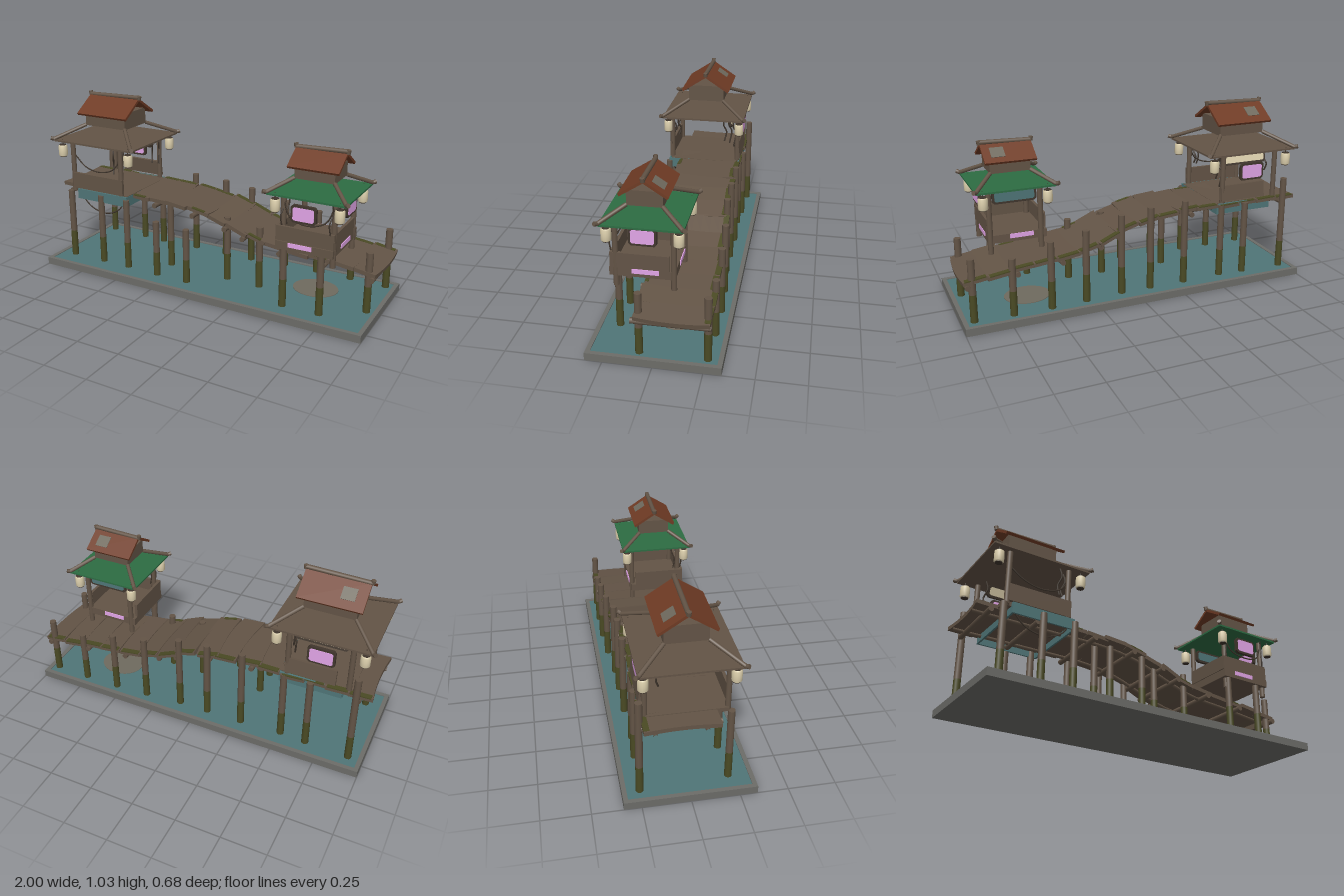
import * as THREE from 'three';

const mat = (name, color) => {
  const m = new THREE.MeshStandardMaterial({ color });
  m.name = name;
  return m;
};
const wood = mat('weathered wood', 0x635446);
const dark = mat('dark wood', 0x40362d);
const moss = mat('moss', 0x4a4a24);
const rust = mat('rusty roof', 0x6f3b24);
const green = mat('green roof', 0x2d6c43);
const teal = mat('water teal', 0x4f7577);
const stone = mat('stone grey', 0x6c6c68);
const cream = mat('lantern cream', 0xdccfac);
const pink = mat('glowing pink', 0xe6a8ec);
const sand = mat('sandy patch', 0x6f6a5e);

function add(parent, name, geo, material, x = 0, y = 0, z = 0) {
  const m = new THREE.Mesh(geo, material);
  m.name = name;
  m.position.set(x, y, z);
  parent.add(m);
  return m;
}
const box = (p, name, m, w, h, d, x, y, z) => add(p, name, new THREE.BoxGeometry(w, h, d), m, x, y, z);

// Round log between two points
function log(p, name, m, a, b, r, r2 = r) {
  const A = new THREE.Vector3(...a), B = new THREE.Vector3(...b);
  const dir = B.clone().sub(A);
  const mesh = add(p, name, new THREE.CylinderGeometry(r2, r, dir.length(), 10), m);
  mesh.position.copy(A).add(B).multiplyScalar(0.5);
  mesh.quaternion.setFromUnitVectors(new THREE.Vector3(0, 1, 0), dir.normalize());
}

// Hanging cable through a few points
function cable(p, pts, r = 0.004) {
  const curve = new THREE.CatmullRomCurve3(pts.map(q => new THREE.Vector3(...q)));
  add(p, 'cable', new THREE.TubeGeometry(curve, 16, r, 5), dark);
}

// Stilt with a mossy foot
function stilt(p, x, z, top, r = 0.019) {
  const split = Math.min(0.2, top * 0.5);
  log(p, 'stiltFoot', moss, [x, 0.04, z], [x, split, z], r * 1.06, r * 1.03);
  log(p, 'stilt', wood, [x, split, z], [x, top, z], r * 1.02, r);
}

// Rounded board with a thin coloured face on both sides
function sign(p, w, h, face, x, y, z, turn = 0, tilt = 0) {
  const g = new THREE.Group();
  g.name = 'signBoard';
  const plate = (W, H, r, depth) => {
    const s = new THREE.Shape();
    const a = W / 2, b = H / 2;
    s.moveTo(-a + r, -b).lineTo(a - r, -b).lineTo(a, -b + r).lineTo(a, b - r)
      .lineTo(a - r, b).lineTo(-a + r, b).lineTo(-a, b - r).lineTo(-a, -b + r).closePath();
    return new THREE.ExtrudeGeometry(s, { depth, bevelEnabled: false }).translate(0, 0, -depth / 2);
  };
  add(g, 'signFrame', plate(w, h, 0.012, 0.018), dark);
  for (const s of [-1, 1]) add(g, 'signFace', plate(w - 0.024, h - 0.024, 0.008, 0.004), face, 0, 0, s * 0.01);
  g.position.set(x, y, z);
  g.rotation.set(tilt, turn, 0);
  p.add(g);
}

function lantern(p, x, y, z) {
  const g = new THREE.Group();
  g.name = 'lantern';
  const prof = [[0.02, -0.034], [0.026, -0.028], [0.0265, 0], [0.026, 0.028], [0.02, 0.034]];
  add(g, 'lanternShade', new THREE.LatheGeometry(prof.map(q => new THREE.Vector2(...q)), 14), cream);
  for (const s of [-1, 1]) add(g, 'lanternCap', new THREE.CylinderGeometry(0.02, 0.02, 0.005, 12), dark, 0, s * 0.0345, 0);
  log(g, 'lanternCord', dark, [0, 0.03, 0], [0, 0.068, 0], 0.003);
  g.position.set(x, y, z);
  p.add(g);
}

// Shelter: flat eave roof, sloping hip beams and a raised gabled box
function pavilion(root, o) {
  const g = new THREE.Group();
  g.name = o.name;
  g.position.set(o.cx, 0, o.cz);
  root.add(g);
  box(g, 'lowerRoof', o.roof, o.ew * 2, 0.01, o.ed * 2, 0, o.eaveY, 0);
  box(g, 'raisedBox', wood, o.tw * 2, o.boxY - o.topY, o.td * 2, 0, (o.boxY + o.topY) / 2, 0);
  for (const sx of [-1, 1]) for (const sz of [-1, 1]) {
    const ex = sx * o.ew, ez = sz * o.ed;
    log(g, 'hipBeam', wood, [sx * o.tw, o.topY + 0.004, sz * o.td], [ex, o.eaveY + 0.01, ez], 0.011);
    log(g, 'hipTip', wood, [ex, o.eaveY + 0.01, ez], [ex + sx * 0.014, o.eaveY + 0.015, ez + sz * 0.012], 0.011, 0.012);
    log(g, 'cornerPost', wood, [sx * o.pw, o.floorY, sz * o.pd], [sx * o.pw, o.eaveY, sz * o.pd], 0.015);
    lantern(g, sx * (o.ew - 0.04), o.eaveY - 0.062, sz * (o.ed - 0.028));
  }
  for (const s of [-1, 1]) {
    // Gable slab
    const drop = o.ridgeY - o.gableY;
    const slab = box(g, 'gableRoof', rust, o.gl * 2, 0.014, Math.hypot(drop, o.gd), 0, (o.ridgeY + o.gableY) / 2, s * o.gd / 2);
    slab.rotation.x = s * Math.atan2(drop, o.gd);
    if (s < 0) box(slab, 'roofPatch', sand, 0.075, 0.004, 0.07, o.patchX, 0.0075, 0);
    log(g, 'ridgeEnd', wood, [s * o.gl, o.ridgeY, 0], [s * (o.gl + 0.004), o.ridgeY + 0.022, 0], 0.012);
  }
  log(g, 'ridgeBeam', wood, [-o.gl, o.ridgeY + 0.004, 0], [o.gl, o.ridgeY + 0.012, 0], 0.013);
  return g;
}

export function createModel() {
  const root = new THREE.Group();
  root.name = 'stiltWalkway';

  // Base tray with water
  box(root, 'baseSlab', stone, 2, 0.034, 0.68, 0, 0.017, 0);
  for (const s of [-1, 1]) {
    box(root, 'baseRim', stone, 2, 0.042, 0.024, 0, 0.021, s * 0.328);
    box(root, 'baseRim', stone, 0.024, 0.042, 0.632, s * 0.988, 0.021, 0);
  }
  box(root, 'water', teal, 1.952, 0.004, 0.632, 0, 0.036, 0);
  add(root, 'sandPatch', new THREE.CylinderGeometry(0.13, 0.13, 0.003, 24), sand, 0.6, 0.0395, -0.06).scale.z = 0.85;

  // Walkway centre line: height and depth along x
  const path = new THREE.CatmullRomCurve3([[-1, 0.465, -0.05], [-0.6, 0.465, -0.05], [-0.25, 0.463, -0.045], [-0.05, 0.442, -0.05],
    [0.12, 0.398, -0.06], [0.3, 0.333, -0.07], [0.5, 0.308, -0.08], [0.75, 0.288, -0.09], [0.98, 0.262, -0.095]].map(p => new THREE.Vector3(...p)));
  const N = 16;
  for (let i = 0; i < N; i++) {
    const a = path.getPointAt(i / N), b = path.getPointAt((i + 1) / N);
    const len = a.distanceTo(b) + 0.008, width = 0.375 + 0.012 * Math.sin(i * 2.3);
    const plank = new THREE.Group();
    plank.name = 'plank';
    const geo = new THREE.BoxGeometry(len, 0.022, width, 1, 1, 8);
    const pos = geo.attributes.position;
    // Bow each board gently
    for (let k = 0; k < pos.count; k++) {
      const t = pos.getZ(k) * 2 / width;
      pos.setX(k, pos.getX(k) + 0.014 * (1 - t * t));
    }
    geo.computeVertexNormals();
    add(plank, 'plankBoard', geo, wood);
    box(plank, 'plankMoss', moss, len * 0.85, 0.006, 0.03, 0, 0.0095, -width / 2 + 0.014);
    if (i % 3 === 1) box(plank, 'plankMoss', moss, len * 0.6, 0.006, 0.02, 0, 0.0095, width / 2 - 0.009);
    plank.position.copy(a).add(b).multiplyScalar(0.5);
    plank.rotation.set(0.02 * Math.sin(i * 1.7), 0.05 * Math.sin(i * 2.9), Math.atan2(b.y - a.y, b.x - a.x) - 0.03);
    root.add(plank);
  }
  // Cross logs under the boards
  for (const x of [-0.93, -0.67, -0.33, -0.08, 0.12, 0.23, 0.45, 0.7, 0.965]) {
    const p = path.getPointAt((x + 1) / 2);
    log(root, 'crossLog', wood, [x, p.y - 0.028, p.z + 0.205], [x, p.y - 0.028, p.z - 0.19], 0.015);
  }
  for (const dz of [-0.13, 0.12]) {
    const pts = [0, 0.2, 0.4, 0.5, 0.6, 0.7, 0.85, 1].map(t => path.getPointAt(t).add(new THREE.Vector3(0, -0.022, dz)));
    add(root, 'stringer', new THREE.TubeGeometry(new THREE.CatmullRomCurve3(pts), 30, 0.011, 6), wood);
  }
  box(root, 'endBeam', wood, 0.02, 0.036, 0.35, 0.945, 0.24, -0.09);

  // Stilts: x, z, top
  [[-0.92, -0.25, 0.59], [-0.89, 0.21, 0.46], [-0.67, -0.24, 0.47], [-0.67, 0.21, 0.46], [-0.52, -0.23, 0.47], [-0.49, 0.21, 0.46],
    [-0.28, -0.24, 0.53], [-0.28, 0.22, 0.37], [-0.28, 0.06, 0.45], [-0.08, 0.22, 0.36], [-0.07, -0.24, 0.52],
    [0.105, -0.24, 0.5], [0.105, 0.07, 0.42], [0.31, 0.075, 0.4], [0.32, -0.26, 0.45], [0.52, -0.27, 0.42], [0.52, 0.225, 0.4],
    [0.73, 0.225, 0.4], [0.73, -0.27, 0.36], [0.94, -0.265, 0.39], [0.94, 0.075, 0.38]].forEach(s => stilt(root, ...s));

  // Large brown-roofed shelter
  const a = pavilion(root, { name: 'largePavilion', cx: -0.7, cz: -0.01, eaveY: 0.765, topY: 0.845, ew: 0.275, ed: 0.248, tw: 0.14, td: 0.108,
    boxY: 0.94, ridgeY: 1.008, gableY: 0.915, gl: 0.173, gd: 0.142, pw: 0.17, pd: 0.205, floorY: 0.46, roof: wood, patchX: -0.08 });
  box(a, 'floor', wood, 0.4, 0.022, 0.41, 0.01, 0.468, 0);
  box(a, 'frontPanel', wood, 0.35, 0.095, 0.016, 0.01, 0.528, 0.212);
  box(a, 'backPanel', wood, 0.28, 0.09, 0.016, 0.04, 0.535, -0.212).rotation.x = 0.12;
  for (const s of [-1, 1]) {
    box(a, 'skirt', teal, 0.35, 0.06, 0.01, 0.035, 0.447, s * 0.216);
    box(a, 'skirt', teal, 0.01, 0.06, 0.43, 0.035 + s * 0.172, 0.447, 0);
  }
  sign(a, 0.29, 0.07, cream, 0.01, 0.715, -0.15, 0, 0.25);
  sign(a, 0.15, 0.1, pink, -0.01, 0.652, -0.215);
  cable(a, [[-0.16, 0.68, 0.2], [-0.08, 0.62, 0.21], [0.02, 0.6, 0.21], [0.12, 0.63, 0.21], [0.17, 0.7, 0.2]]);
  cable(a, [[-0.14, 0.45, 0.2], [-0.06, 0.37, 0.2], [0.05, 0.345, 0.2], [0.15, 0.39, 0.2], [0.19, 0.46, 0.2]]);
  // Dangling cords under the eaves
  for (const [x, z, low] of [[0.17, -0.13, 0.6], [0.15, -0.16, 0.58], [0.18, -0.19, 0.57], [-0.15, -0.14, 0.62], [0.16, 0.16, 0.62], [0.12, 0.2, 0.6]])
    cable(a, [[x, 0.765, z], [x + 0.008, 0.71, z + 0.012], [x - 0.006, 0.66, z - 0.006], [x, low, z + 0.006]], 0.005);

  // Small green-roofed shelter
  const b = pavilion(root, { name: 'smallPavilion', cx: 0.65, cz: 0.073, eaveY: 0.678, topY: 0.745, ew: 0.215, ed: 0.205, tw: 0.11, td: 0.09,
    boxY: 0.825, ridgeY: 0.885, gableY: 0.808, gl: 0.14, gd: 0.12, pw: 0.14, pd: 0.145, floorY: 0.32, roof: green, patchX: 0.06 });
  box(b, 'floor', wood, 0.32, 0.045, 0.33, -0.01, 0.4, 0.012);
  box(b, 'frontPanel', wood, 0.32, 0.082, 0.016, -0.01, 0.465, 0.165);
  for (const s of [-1, 1]) box(b, 'sidePanel', wood, 0.016, 0.082, 0.29, -0.01 + s * 0.155, 0.465, 0.022);
  // Glowing strips on the floor edge
  for (const s of [-1, 1]) box(b, 'glowStrip', pink, 0.13, 0.024, 0.006, -0.03, 0.409, 0.012 + s * 0.167);
  box(b, 'glowStrip', pink, 0.006, 0.024, 0.135, 0.152, 0.41, -0.005);
  sign(b, 0.14, 0.095, pink, -0.012, 0.592, 0.182);
  sign(b, 0.14, 0.095, pink, 0.168, 0.615, 0, Math.PI / 2);
  sign(b, 0.24, 0.075, teal, 0, 0.632, -0.14);
  cable(b, [[-0.14, 0.66, 0.15], [-0.1, 0.56, 0.16], [0, 0.53, 0.17], [0.1, 0.56, 0.16], [0.14, 0.65, 0.15]]);
  for (const [x, z] of [[-0.13, 0.12], [-0.14, 0.16], [0.13, 0.17]])
    cable(b, [[x, 0.675, z], [x + 0.008, 0.62, z - 0.01], [x - 0.005, 0.56, z + 0.008], [x, 0.5, z]], 0.004);
  return root;
}
